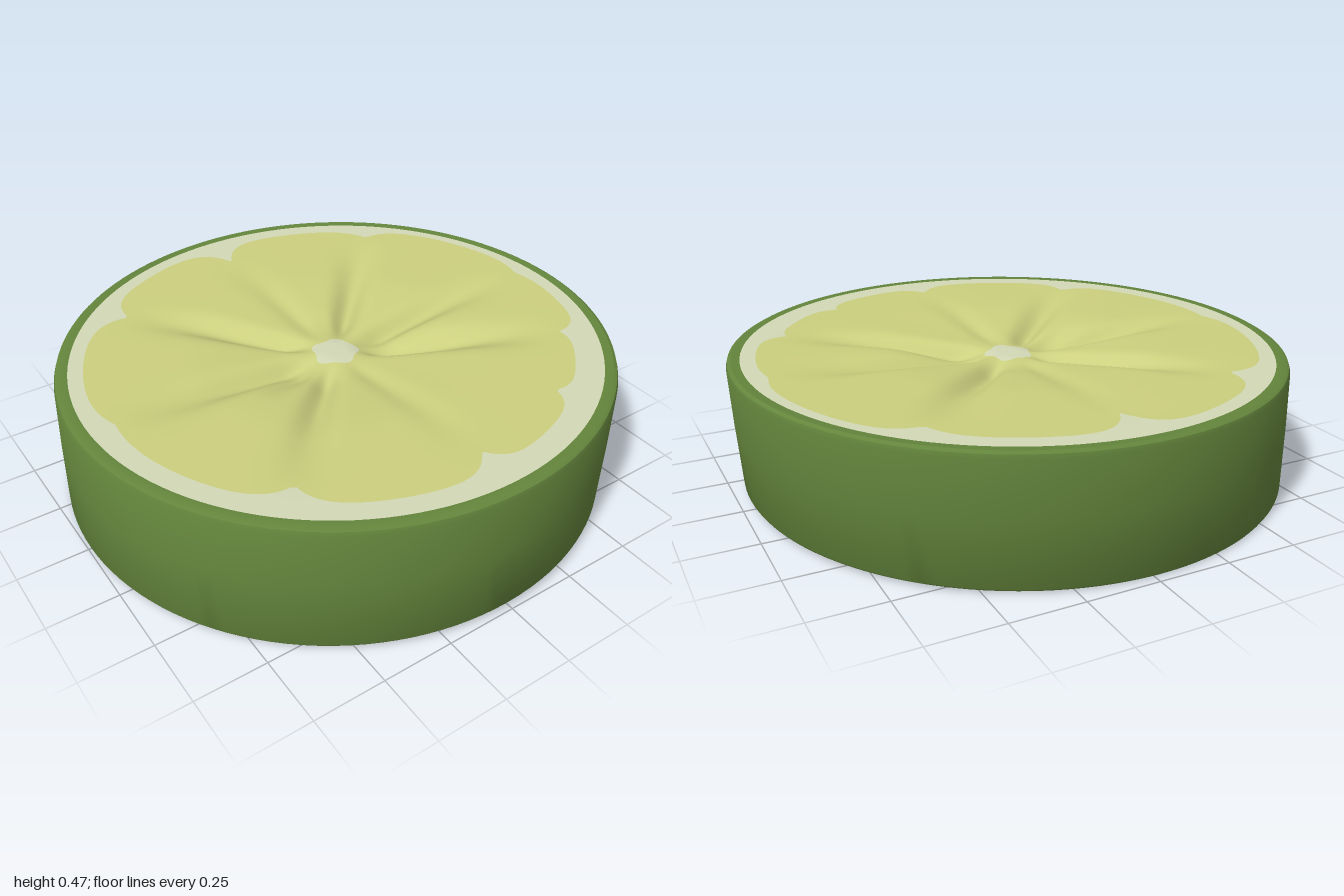
import * as THREE from 'three';
import { toCreasedNormals } from 'three/addons/utils/BufferGeometryUtils.js';

const rindMat = new THREE.MeshStandardMaterial({ color: 0x64853c });
rindMat.name = 'rind green';
const pithMat = new THREE.MeshStandardMaterial({ color: 0xd2d8b6 });
pithMat.name = 'pale pith';
const fleshMat = new THREE.MeshStandardMaterial({ color: 0xcbcf7e });
fleshMat.name = 'lime flesh';

const STEPS = 288;
const CORE = 0.08;

// Membranes: [angle in degrees, outline radius at the notch, groove depth,
// outline radius in the middle of the segment that follows]
const membranes = [
  [-1, 0.87, 0.045, 0.885],
  [30, 0.81, 0.045, 0.84],
  [57, 0.79, 0, 0.85],
  [89, 0.77, 0.012, 0.865],
  [133, 0.79, 0.042, 0.865],
  [180, 0.85, 0.045, 0.885],
  [228, 0.79, 0.04, 0.885],
  [270, 0.75, 0.012, 0.875],
  [313, 0.83, 0.045, 0.9],
];
// Short extra wrinkles near the core: [angle, depth, length]
const wrinkles = [[16, 0.025, 0.45], [162, 0.03, 0.42], [290, 0.012, 0.3]];

const smooth = (a, b, v) => THREE.MathUtils.smoothstep(v, a, b);

// Scalloped outer edge of the flesh
function fleshEdge(theta) {
  let deg = THREE.MathUtils.radToDeg(theta);
  if (deg >= 359) deg -= 360;
  for (let i = 0; i < membranes.length; i++) {
    const [a0, n0, , bulge] = membranes[i];
    const next = membranes[(i + 1) % membranes.length];
    const a1 = i + 1 < membranes.length ? next[0] : next[0] + 360;
    if (deg < a0 || deg > a1) continue;
    const t = (deg - a0) / (a1 - a0);
    const base = n0 + (next[1] - n0) * t;
    return base + (bulge - base) * (1 - Math.abs(2 * t - 1) ** 5);
  }
  return 0.86;
}

// One V-like furrow running outward from the core
function furrow(r, theta, deg, depth, length) {
  const d = theta - THREE.MathUtils.degToRad(deg);
  if (Math.cos(d) <= 0) return 0;
  const across = r * Math.sin(d);
  const width = 0.025 + 0.07 * r;
  const along = smooth(0.05, 0.22, r) * (1 - smooth(length * 0.4, length, r));
  return depth * along * Math.exp(-((across / width) ** 2));
}

// Height of the cut face
function faceHeight(r, theta) {
  let y = 0.46 - 0.035 * (1 - smooth(0.05, 0.55, r));
  for (const [deg, , depth] of membranes) y -= furrow(r, theta, deg, depth, 0.86);
  for (const [deg, depth, length] of wrinkles) y -= furrow(r, theta, deg, depth, length);
  return y;
}

// Slight lean and tilt shared by every part
function lean(geometry) {
  const p = geometry.attributes.position;
  for (let i = 0; i < p.count; i++) {
    const x = p.getX(i), y = p.getY(i), z = p.getZ(i);
    p.setXYZ(i, x + 0.055 * (y - 0.24), y + 0.008 * x + 0.009 * z, z - 0.04 * (y - 0.23));
  }
  geometry.computeVertexNormals();
  return geometry;
}

// Ring of the cut face between two outlines; drop > 0 makes the underside
function faceRing(inner, outer, rings, drop = 0) {
  const pos = [], index = [];
  for (let j = 0; j <= rings; j++) {
    for (let i = 0; i < STEPS; i++) {
      const a = (i / STEPS) * Math.PI * 2;
      const r = THREE.MathUtils.lerp(inner(a), outer(a), j / rings);
      pos.push(r * Math.cos(a), faceHeight(r, a) - drop, r * Math.sin(a));
    }
  }
  for (let j = 0; j < rings; j++) {
    for (let i = 0; i < STEPS; i++) {
      const k = (i + 1) % STEPS;
      const a = j * STEPS + i, b = j * STEPS + k;
      const c = a + STEPS, d = b + STEPS;
      if (drop) index.push(a, c, b, b, c, d);
      else index.push(a, b, c, b, d, c);
    }
  }
  const g = new THREE.BufferGeometry();
  g.setAttribute('position', new THREE.Float32BufferAttribute(pos, 3));
  g.setIndex(index);
  return lean(g);
}

function lathe(points, segments) {
  const g = new THREE.LatheGeometry(points.map(([x, y]) => new THREE.Vector2(x, y)), segments);
  return toCreasedNormals(lean(g), 0.6);
}

export function createModel() {
  const group = new THREE.Group();
  const add = (name, geometry, material) => {
    const mesh = new THREE.Mesh(geometry, material);
    mesh.name = name;
    group.add(mesh);
  };
  const radius = (r) => () => r;
  const coreEdge = (a) => CORE + 0.008 * Math.sin(5 * a);

  // Thin hollow rind wall with a rounded lip
  add('rind', lathe([
    [0.962, 0.43], [0.962, 0.016], [0.968, 0.012], [0.976, 0.012], [0.981, 0.02],
    [0.985, 0.25], [0.985, 0.44], [0.98, 0.455], [0.968, 0.462], [0.938, 0.46],
  ], 128), rindMat);

  // Cut face: core, flesh segments and pith border
  add('core', faceRing(radius(0), coreEdge, 4), pithMat);
  add('flesh', faceRing(coreEdge, fleshEdge, 40), fleshMat);
  add('pith', faceRing(fleshEdge, radius(0.942), 5), pithMat);

  // Underside of the cut face
  add('underside', faceRing(radius(0), radius(0.963), 40, 0.025), rindMat);

  // Core stub hanging below
  add('coreStub', lathe([[0.04, 0.35], [0.065, 0.375], [0.075, 0.41]], 24), rindMat);
  add('coreTip', lathe([[0, 0.325], [0.025, 0.33], [0.04, 0.35]], 24), pithMat);

  return group;
}
